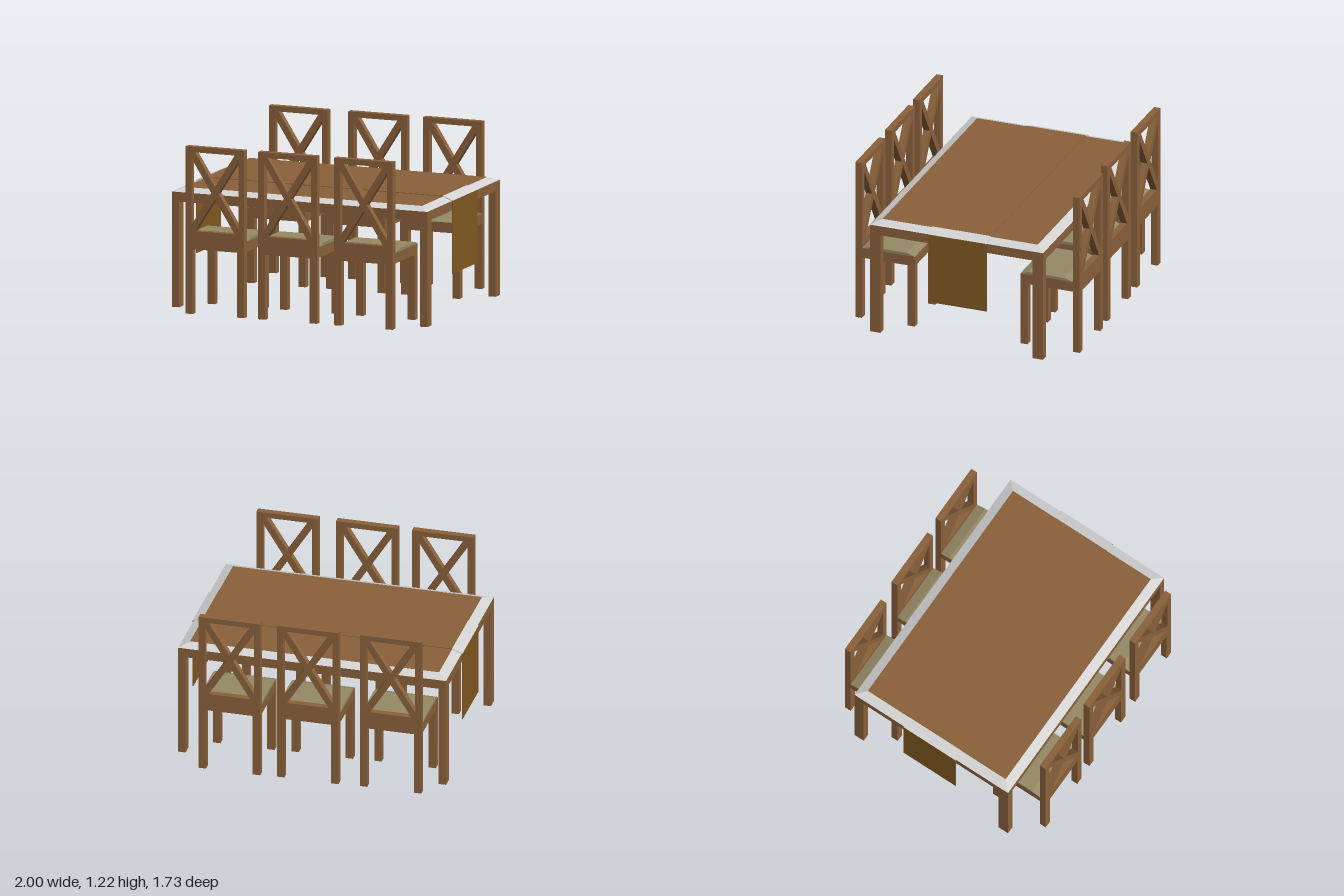
import * as THREE from 'three';

const mat = (name, color, side = THREE.FrontSide) => {
  const m = new THREE.MeshStandardMaterial({ color, side });
  m.name = name;
  return m;
};

export function createModel() {
  const wood = mat('wood', 0x8b623b);
  const trim = mat('pale trim', 0xd4d4d4);
  const cushionMat = mat('seat fabric', 0x968b66);
  const cloth = mat('runner cloth', 0x825a22, THREE.DoubleSide);
  wood.side = trim.side = THREE.DoubleSide;

  const add = (parent, name, geometry, material) => {
    const mesh = new THREE.Mesh(geometry, material);
    mesh.name = name;
    parent.add(mesh);
    return mesh;
  };
  // Box given by its minimum and maximum corners
  const box = (parent, name, x0, x1, y0, y1, z0, z1, material = wood) => {
    const g = new THREE.BoxGeometry(x1 - x0, y1 - y0, z1 - z0);
    g.translate((x0 + x1) / 2, (y0 + y1) / 2, (z0 + z1) / 2);
    return add(parent, name, g, material);
  };
  const polygon = (points, Type = THREE.Shape) => new Type(points.map(p => new THREE.Vector2(...p)));

  // ---- Table ----
  function makeTable() {
    const table = new THREE.Group();
    table.name = 'table';
    const X = 0.992, Z = 0.665;
    box(table, 'tableSlab', -X, X, 0.77, 0.84, -Z, Z);
    for (const sx of [-1, 1]) for (const sz of [-1, 1]) {
      const leg = box(table, 'tableLeg', -0.0275, 0.0275, 0, 0.77, -0.04, 0.04);
      leg.position.set(sx * (X - 0.0275), 0, sz * (Z - 0.04));
    }
    // Bevelled top: pale sloping rim, wooden centre
    const g = new THREE.BoxGeometry(2 * X, 0.027, 2 * Z);
    const p = g.attributes.position;
    for (let i = 0; i < p.count; i++) {
      if (p.getY(i) > 0) p.setXYZ(i, Math.sign(p.getX(i)) * 0.922, p.getY(i), Math.sign(p.getZ(i)) * 0.597);
    }
    g.computeVertexNormals();
    g.translate(0, 0.8535, 0);
    add(table, 'bevelledTop', g, [trim, trim, wood, trim, trim, trim]);

    // Runner across the table with a cloth drop at each end
    const runner = new THREE.Group();
    runner.name = 'tableRunner';
    const w = 0.45;
    box(runner, 'runnerCentre', -0.922, 0.922, 0.868, 0.873, -w / 2, w / 2);
    for (const s of [-1, 1]) {
      const slope = polygon([[s * 0.922, 0.868], [s * 0.922, 0.873], [s * 0.999, 0.843], [s * 0.994, 0.838]]);
      const sg = new THREE.ExtrudeGeometry(slope, { depth: w, bevelEnabled: false });
      sg.translate(0, 0, -w / 2);
      add(runner, 'runnerSlope', sg, trim);
      const xs = [s * 0.994, s * 0.999].sort((a, b) => a - b);
      box(runner, 'runnerDrop', xs[0], xs[1], 0.31, 0.839, -w / 2, w / 2, cloth);
    }
    runner.position.z = -0.01;
    table.add(runner);
    return table;
  }

  // ---- Chair: backrest outer face at z = 0, seat reaches towards -z ----
  const W = 0.228, D = 0.457, T = 0.05, LEG = 0.055;

  // Backrest panel with four triangular openings that leave a crossed brace
  const hx = W - 0.046, y0 = 0.605, y1 = 1.18, yc = (y0 + y1) / 2, hy = (y1 - y0) / 2;
  const diag = Math.hypot(hx, hy), half = 0.024;
  const dx = half * diag / hy, dy = half * diag / hx;
  const panel = polygon([[-W, 0.473], [W, 0.473], [W, 1.22], [-W, 1.22]]);
  for (const s of [-1, 1]) {
    panel.holes.push(
      polygon([[-hx + dx, yc + s * hy], [hx - dx, yc + s * hy], [0, yc + s * dy]], THREE.Path),
      polygon([[s * hx, yc - hy + dy], [s * hx, yc + hy - dy], [s * dx, yc]], THREE.Path));
  }
  const backGeometry = new THREE.ExtrudeGeometry(panel, { depth: T, bevelEnabled: false });
  backGeometry.translate(0, 0, -T);

  // Cushion: profile sloping at front and back, swept across the seat width
  const cushionShape = polygon([[T, 0.55], [D, 0.55], [D - 0.06, 0.571], [T + 0.07, 0.571]]);
  const cushionGeometry = new THREE.ExtrudeGeometry(cushionShape, { depth: 2 * W, bevelEnabled: false });
  cushionGeometry.translate(0, 0, -W);
  cushionGeometry.rotateY(Math.PI / 2);

  function makeChair(x, z) {
    const chair = new THREE.Group();
    chair.name = 'chair';
    add(chair, 'backrest', backGeometry, wood);
    box(chair, 'seatFrame', -W, W, 0.475, 0.55, -D, -T);
    add(chair, 'seatCushion', cushionGeometry, cushionMat);
    for (const s of [-1, 1]) {
      const a = s < 0 ? -W : W - LEG;
      box(chair, 'rearLeg', a, a + LEG, 0, 0.474, -T, 0);
      box(chair, 'frontLeg', a, a + LEG, 0, 0.476, -D, -D + LEG);
    }
    chair.position.set(x, 0, z);
    if (z < 0) chair.rotation.y = Math.PI;
    return chair;
  }

  const model = new THREE.Group();
  model.name = 'diningSet';
  model.add(makeTable());
  const places = [[-0.575, 0.863], [-0.013, 0.858], [0.575, 0.853], [-0.628, -0.84], [-0.018, -0.853], [0.559, -0.866]];
  for (const [x, z] of places) model.add(makeChair(x, z));
  return model;
}
